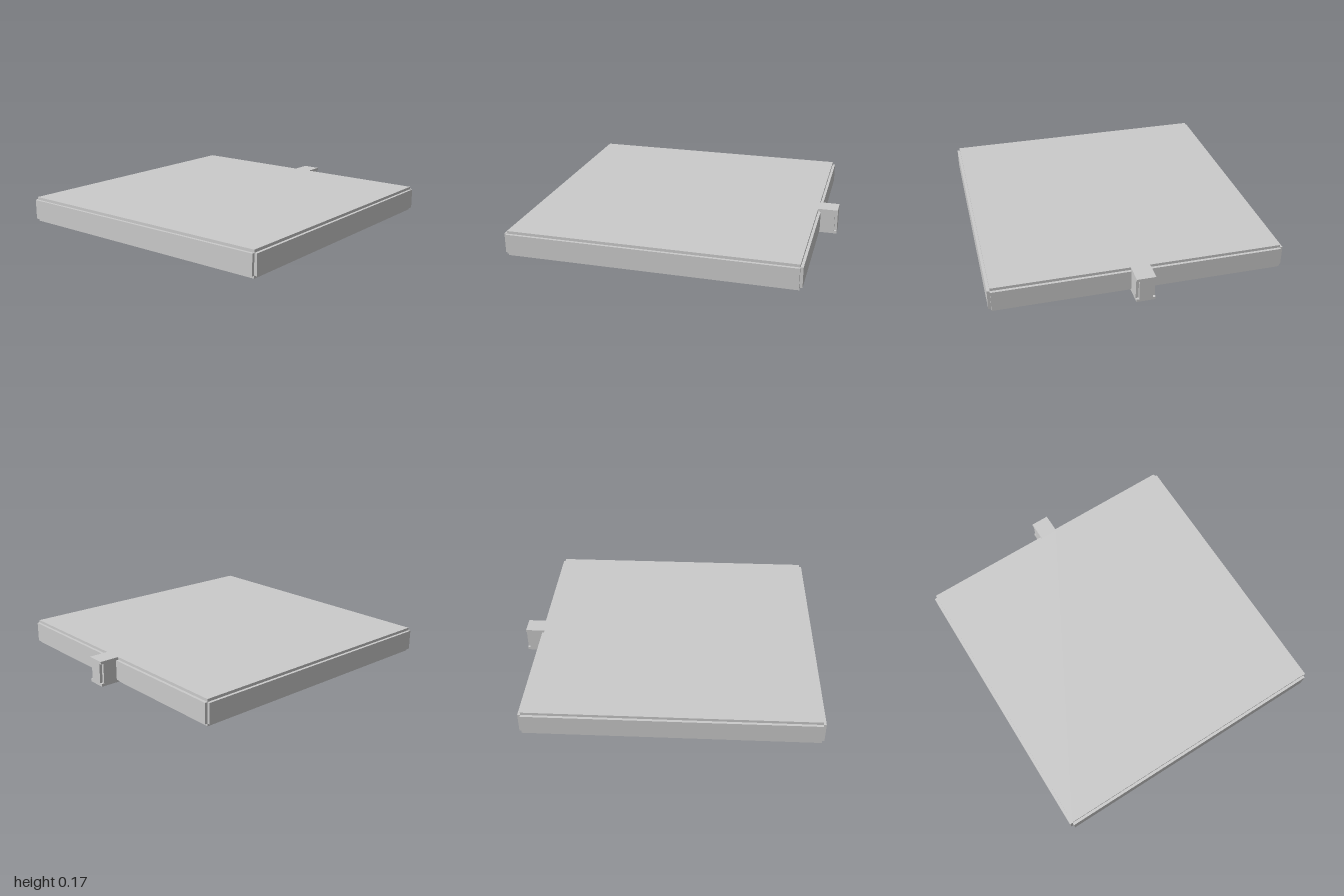
import * as THREE from 'three';

const HEIGHT = 0.167, STEP = 0.018;
const LEFT = -1, RIGHT = 0.887, DEPTH = 0.943; // slab body limits
const TAB_END = 1, TAB_HALF = 0.061;

// Outline mirrored across the x axis, laid flat and extruded from y0 to y1
function layer(name, half, y0, y1, material) {
  const mirrored = half.map(([x, z]) => [x, -z]).reverse();
  const shape = new THREE.Shape([...half, ...mirrored].map(([x, z]) => new THREE.Vector2(x, z)));
  const geometry = new THREE.ExtrudeGeometry(shape, { depth: y1 - y0, bevelEnabled: false });
  geometry.rotateX(-Math.PI / 2);
  geometry.translate(0, y0, 0);
  const mesh = new THREE.Mesh(geometry, material);
  mesh.name = name;
  return mesh;
}

export function createModel() {
  const group = new THREE.Group();
  group.name = 'tabbedSlab';
  const material = new THREE.MeshStandardMaterial({ color: 0xcccccc, flatShading: true });

  // Inset plates: plain rectangle with a square tab
  const plate = [
    [TAB_END, TAB_HALF], [RIGHT - STEP, TAB_HALF],
    [RIGHT - STEP, DEPTH - STEP], [LEFT + STEP, DEPTH - STEP],
  ];
  // Core: wider on every side, with notched vertical corners on slab and tab
  const core = [
    [TAB_END, TAB_HALF - STEP], [TAB_END - STEP, TAB_HALF - STEP], [TAB_END - STEP, TAB_HALF],
    [RIGHT, TAB_HALF], [RIGHT, DEPTH - STEP], [RIGHT - STEP, DEPTH - STEP],
    [RIGHT - STEP, DEPTH], [LEFT + STEP, DEPTH],
    [LEFT + STEP, DEPTH - STEP], [LEFT, DEPTH - STEP],
  ];

  group.add(
    layer('bottomPlate', plate, 0, STEP, material),
    layer('core', core, STEP, HEIGHT - STEP, material),
    layer('topPlate', plate, HEIGHT - STEP, HEIGHT, material),
  );
  return group;
}
